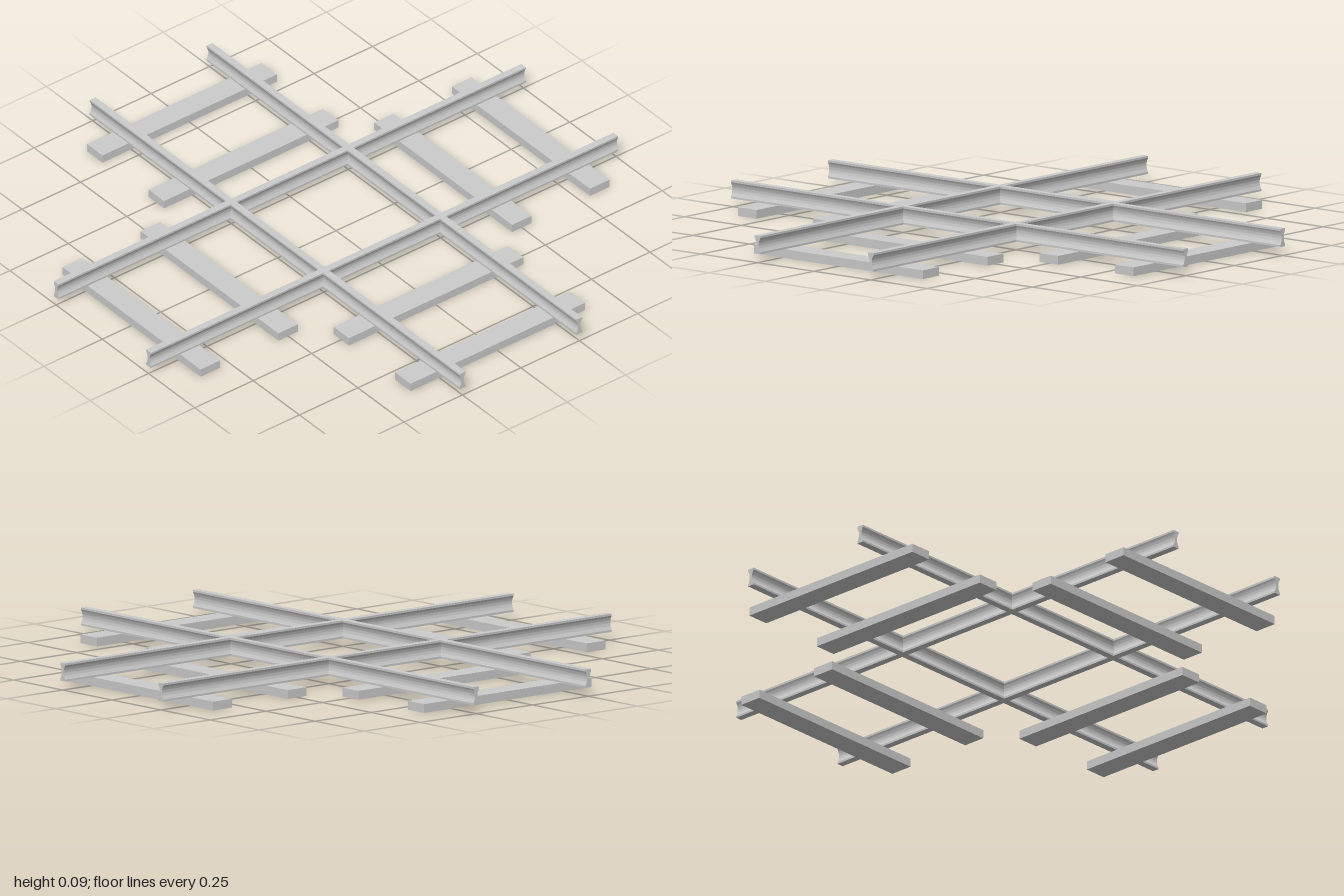
import * as THREE from 'three';
import { toCreasedNormals } from 'three/addons/utils/BufferGeometryUtils.js';

const HALF = 0.0125;   // half width of the rail head and foot
const WAIST = 0.005;   // half width of the rail web
const BASE = 0.03;     // top of the sleepers
const TOP = 0.092;     // top of the rails
const LIP = 0.007;     // straight edge of head and foot

// Rail section: square head and foot joined by a hollow curved web
function railGeometry() {
  const low = BASE + LIP, high = TOP - LIP, mid = (low + high) / 2;
  const pull = 2 * WAIST - HALF; // control point that brings the curve to the waist
  const s = new THREE.Shape();
  s.moveTo(-HALF, BASE);
  s.lineTo(HALF, BASE);
  s.lineTo(HALF, low);
  s.quadraticCurveTo(pull, mid, HALF, high);
  s.lineTo(HALF, TOP);
  s.lineTo(-HALF, TOP);
  s.lineTo(-HALF, high);
  s.quadraticCurveTo(-pull, mid, -HALF, low);
  s.closePath();
  const geo = new THREE.ExtrudeGeometry(s, { depth: 2, bevelEnabled: false, curveSegments: 10 });
  geo.translate(0, 0, -1);
  return toCreasedNormals(geo, 0.5);
}

export function createModel() {
  const model = new THREE.Group();
  model.name = 'railCrossing';
  const material = new THREE.MeshStandardMaterial({ color: 0xcccccc });
  const rail = railGeometry();
  const sleeper = new THREE.BoxGeometry(0.746, BASE, 0.083);

  // Two identical tracks crossing at a right angle
  for (const [name, angle] of [['lengthwiseTrack', 0], ['crosswiseTrack', Math.PI / 2]]) {
    const track = new THREE.Group();
    track.name = name;
    track.rotation.y = angle;
    for (const x of [-0.25, 0.25]) {
      const mesh = new THREE.Mesh(rail, material);
      mesh.name = 'rail';
      mesh.position.x = x;
      track.add(mesh);
    }
    for (const z of [-0.833, -0.5, 0.5, 0.833]) {
      const mesh = new THREE.Mesh(sleeper, material);
      mesh.name = 'sleeper';
      mesh.position.set(0, BASE / 2, z);
      track.add(mesh);
    }
    model.add(track);
  }
  return model;
}
